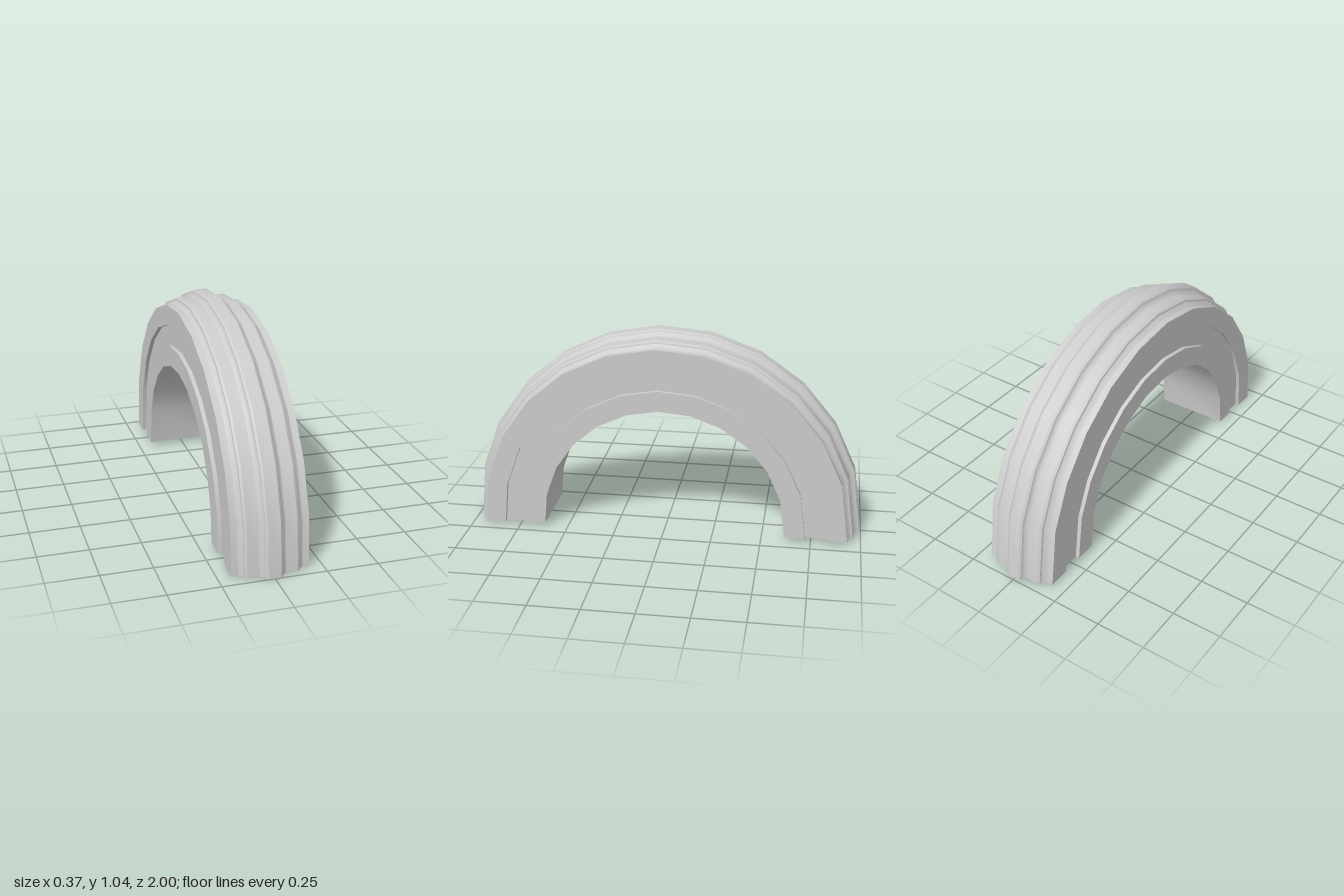
import * as THREE from 'three';
import { toCreasedNormals } from 'three/addons/utils/BufferGeometryUtils.js';

// Half of the moulding's cross-section as [x, radius], from the inner face to the crown
const HALF = [
  [0.187, 0.618], [0.187, 0.722], [0.167, 0.722], [0.167, 0.83], [0.187, 0.83], // side groove
  [0.187, 0.934], [0.154, 0.934], [0.141, 0.942], [0.133, 0.95], [0.13, 0.96], [0.12, 0.966], // lower step
  [0.062, 0.967], [0.05, 0.974], [0.043, 0.982], [0.04, 0.992], [0.03, 0.999], // upper step
];
const CENTRE_Y = 0.045;

// Sweeps a closed profile around the x axis through the given angles, with capped ends
function sweepProfile(profile, angles) {
  const n = profile.length;
  const positions = [];
  const index = [];
  for (const a of angles) {
    for (const [x, r] of profile) {
      positions.push(x, CENTRE_Y + r * Math.sin(a), r * Math.cos(a));
    }
  }
  for (let i = 0; i < angles.length - 1; i++) {
    for (let j = 0; j < n; j++) {
      const k = (j + 1) % n;
      const a = i * n + j, b = i * n + k, c = b + n, d = a + n;
      index.push(a, d, c, a, c, b);
    }
  }
  // Feet of the arch
  const outline = profile.map(([x, r]) => new THREE.Vector2(x, r));
  const last = (angles.length - 1) * n;
  for (const [a, b, c] of THREE.ShapeUtils.triangulateShape(outline, [])) {
    index.push(a, b, c, last + a, last + c, last + b);
  }
  const geometry = new THREE.BufferGeometry();
  geometry.setAttribute('position', new THREE.Float32BufferAttribute(positions, 3));
  geometry.setIndex(index);
  return toCreasedNormals(geometry, 0.45);
}

export function createModel() {
  const group = new THREE.Group();
  group.name = 'archMoulding';

  const mirrored = HALF.map(([x, r]) => [-x, r]).reverse();
  const profile = [...HALF, ...mirrored];

  // Even steps, with one slightly longer step down to the back foot
  const angles = [];
  for (let i = 0; i < 12; i++) angles.push(THREE.MathUtils.degToRad(-2.58 + 15.03 * i));
  angles.push(THREE.MathUtils.degToRad(181.8));

  const arch = new THREE.Mesh(
    sweepProfile(profile, angles),
    new THREE.MeshStandardMaterial({ color: 0xcccccc }),
  );
  arch.name = 'arch';
  group.add(arch);
  return group;
}
